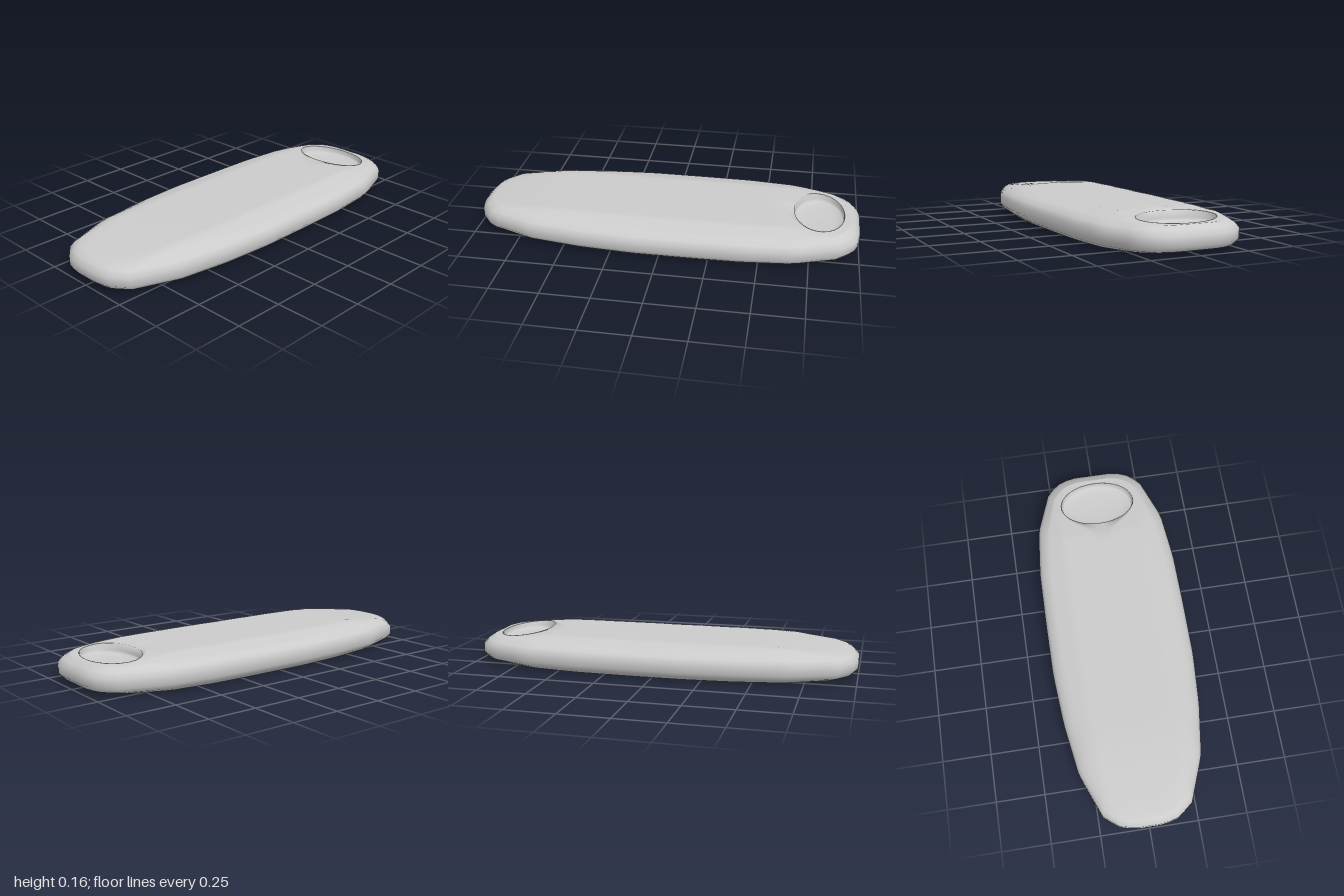
import * as THREE from 'three';

const N = 96; // points around each loop

// Half of the plan outline, from the +x end round to the -x end
const HALF = [[1, 0], [1, 0.1], [0.985, 0.18], [0.92, 0.26], [0.69, 0.345], [0.43, 0.37], [0.15, 0.374],
  [-0.15, 0.374], [-0.42, 0.355], [-0.69, 0.315], [-0.92, 0.225], [-0.985, 0.14], [-1, 0.06], [-1, 0]];

function planOutline() {
  const path = new THREE.CurvePath();
  const pts = [...HALF, ...HALF.slice(1, -1).reverse().map(([x, z]) => [x, -z]), HALF[0]]
    .map(([x, z]) => new THREE.Vector2(x, z));
  for (let i = 0; i < pts.length - 1; i++) path.curves.push(new THREE.LineCurve(pts[i], pts[i + 1]));
  return path.getSpacedPoints(N).slice(0, N);
}

// Gently crowned deck that falls away towards the ends and sides
function deckHeight(x, z) {
  const a = Math.max(0, (Math.abs(x) - 0.6) / 0.33);
  const b = Math.max(0, (Math.abs(z) / (0.375 - 0.14 * x ** 4) - 0.6) / 0.28);
  return 0.16 - 0.027 * Math.min(1, Math.hypot(a, b));
}

// Joins closed loops of N points into one smooth skin
function loft(loops) {
  const index = [];
  for (let i = 0; i < loops.length - 1; i++) {
    for (let j = 0; j < N; j++) {
      const a = i * N + j, b = i * N + (j + 1) % N;
      index.push(a, a + N, b, b, a + N, b + N);
    }
  }
  const g = new THREE.BufferGeometry();
  g.setAttribute('position', new THREE.Float32BufferAttribute(loops.flat(2), 3));
  g.setIndex(index);
  g.computeVertexNormals();
  return g;
}

export function createModel() {
  const group = new THREE.Group();
  const outline = planOutline();
  const loops = [];

  // Side wall: tucked-in open bottom edge, upright middle, rounded shoulder
  const wall = (sx, sz, y) => loops.push(outline.map((p) => [p.x * sx, y(p.x), p.y * sz]));
  wall(0.935, 0.88, (x) => 0.01 * x ** 4);
  wall(0.975, 0.95, () => 0.02);
  wall(1, 1, () => 0.045);
  wall(1, 1, () => 0.09);
  wall(0.975, 0.955, () => 0.115);
  wall(0.945, 0.88, () => 0.133);

  // Oval rim of the recess, each point facing its shoulder point
  const CX = 0.79, RX = 0.13, RZ = 0.2;
  const shoulder = loops[loops.length - 1];
  const rim = shoulder.map(([x, , z]) => {
    const t = Math.atan2(z / RZ, (x - CX) / RX);
    return [CX + RX * Math.cos(t), RZ * Math.sin(t)];
  });

  // Deck, running from the shoulder in to the rim
  const STEPS = 14;
  for (let k = 1; k <= STEPS; k++) {
    const t = k / STEPS;
    loops.push(shoulder.map(([x, , z], j) => {
      const px = x + (rim[j][0] - x) * t, pz = z + (rim[j][1] - z) * t;
      return [px, deckHeight(px, pz), pz];
    }));
  }

  // Recess wall and shallow dished floor
  for (const [s, y] of [[0.99, 0.118], [0.94, 0.105], [0.7, 0.099], [0.35, 0.097], [0, 0.096]]) {
    loops.push(rim.map(([x, z]) => [CX + (x - CX) * s, y, z * s]));
  }

  const material = new THREE.MeshStandardMaterial({ color: 0xcccccc, side: THREE.DoubleSide });
  const shell = new THREE.Mesh(loft(loops), material);
  shell.name = 'shellWithRecess';
  group.add(shell);
  return group;
}
